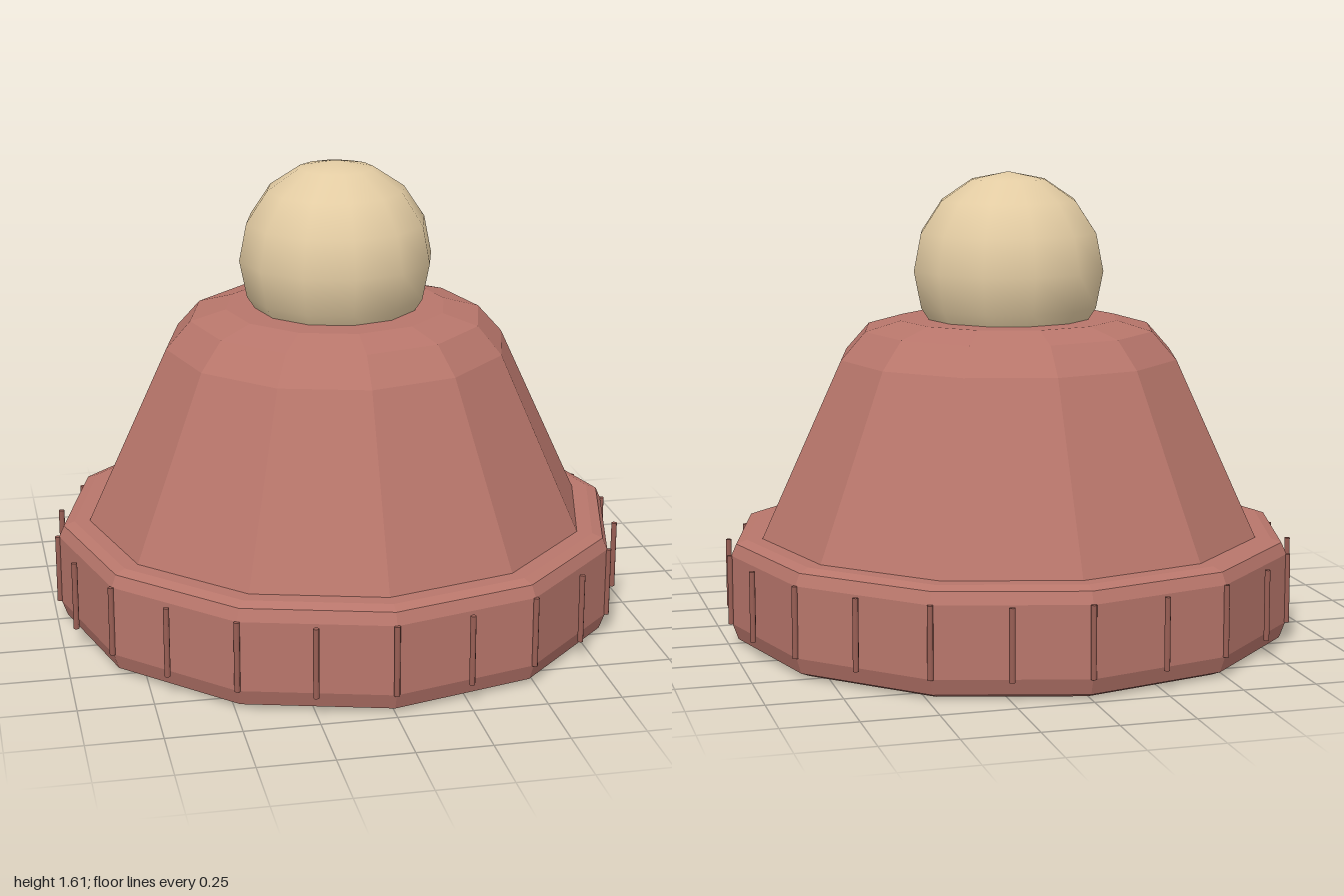
import * as THREE from 'three';

const SIDES = 12;
const RIBS = 24;

const paint = (color, flatShading) => new THREE.MeshStandardMaterial({ color, flatShading });

// Twelve-sided turned part; profile runs from bottom to top as [radius, y]
function turned(name, profile, material) {
  const points = profile.map(([r, y]) => new THREE.Vector2(r, y));
  const mesh = new THREE.Mesh(new THREE.LatheGeometry(points, SIDES), material);
  mesh.name = name;
  return mesh;
}

export function createModel() {
  const hat = new THREE.Group();
  hat.name = 'bobbleHat';
  const wool = paint(0xb8766b, true);
  const ribWool = paint(0x9a5f55, false);
  const cream = paint(0xe3cca3, false);

  // Tapered crown with a bevelled top
  hat.add(turned('crown', [
    [0.88, 0.36], [0.595, 0.975], [0.51, 1.07], [0.385, 1.105], [0, 1.105],
  ], wool));

  // Folded brim with rounded edges and a closed underside
  hat.add(turned('brim', [
    [0, 0.005], [0.93, 0.005], [0.965, 0.02], [0.985, 0.075],
    [0.985, 0.315], [0.967, 0.355], [0.93, 0.368], [0.86, 0.368],
  ], wool));

  // Thin upright ribs around the brim
  const ribs = new THREE.Group();
  ribs.name = 'brimRibs';
  const ribGeometry = new THREE.CylinderGeometry(0.01, 0.01, 0.24, 8);
  for (let i = 0; i < RIBS; i++) {
    const angle = (i / RIBS) * Math.PI * 2;
    const rib = new THREE.Mesh(ribGeometry, ribWool);
    rib.name = 'rib';
    rib.position.set(Math.sin(angle) * 0.989, 0.196, Math.cos(angle) * 0.989);
    ribs.add(rib);
  }
  hat.add(ribs);

  // Bobble sunk slightly into the top
  const bobble = new THREE.Mesh(new THREE.SphereGeometry(0.337, SIDES, 8), cream);
  bobble.name = 'bobble';
  bobble.position.y = 1.274;
  hat.add(bobble);

  return hat;
}
